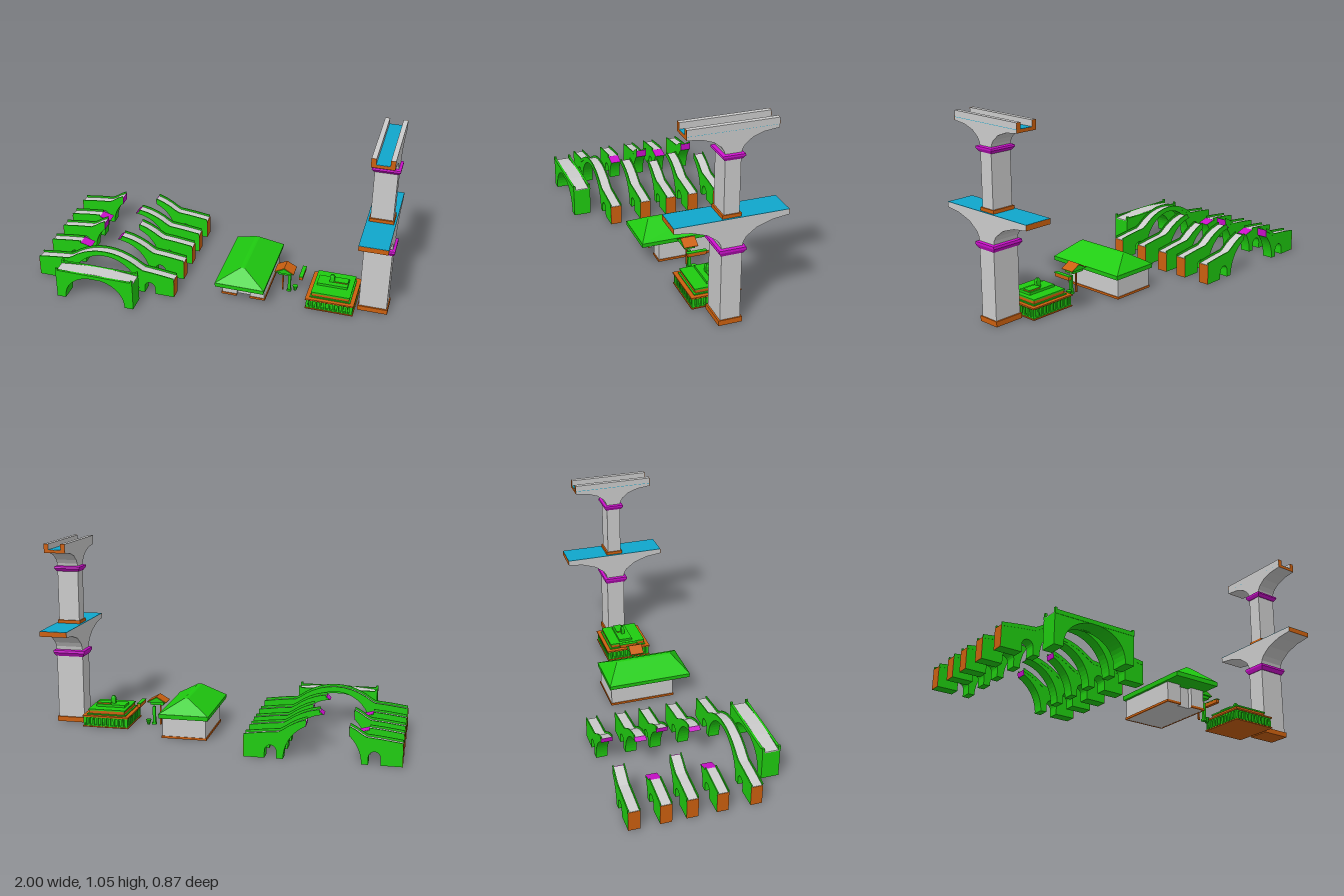
import * as THREE from 'three';

const GREEN = 0x1fcc10, ORANGE = 0xcc600f, MAGENTA = 0xcc10cc, BLUE = 0x10a6cc, GREY = 0xcccccc;
const mats = {};
const mat = (color) => (mats[color] ??= new THREE.MeshStandardMaterial({ color, flatShading: true }));

function add(parent, name, geo, color) {
  const m = new THREE.Mesh(geo, mat(color));
  m.name = name;
  parent.add(m);
  return m;
}

function box(parent, name, color, x0, x1, y0, y1, z0, z1) {
  const m = add(parent, name, new THREE.BoxGeometry(x1 - x0, y1 - y0, z1 - z0), color);
  m.position.set((x0 + x1) / 2, (y0 + y1) / 2, (z0 + z1) / 2);
  return m;
}

// Outline in x/y, extruded from z0 to z1
function slab(parent, name, color, pts, z0, z1) {
  const shape = new THREE.Shape(pts.map(([x, y]) => new THREE.Vector2(x, y)));
  const geo = new THREE.ExtrudeGeometry(shape, { depth: z1 - z0, bevelEnabled: false });
  geo.translate(0, 0, z0);
  return add(parent, name, geo, color);
}

// Stack of rectangular rings [y, halfX, halfZ] around (cx, cz), closed at both ends
function loft(parent, name, color, cx, cz, rings) {
  const pos = [], corner = [[-1, 1], [1, 1], [1, -1], [-1, -1]];
  const p = (i, j) => [cx + corner[j % 4][0] * rings[i][1], rings[i][0], cz + corner[j % 4][1] * rings[i][2]];
  const quad = (a, b, c, d) => pos.push(...a, ...b, ...c, ...a, ...c, ...d);
  const n = rings.length - 1;
  for (let i = 0; i < n; i++)
    for (let j = 0; j < 4; j++) quad(p(i, j), p(i, j + 1), p(i + 1, j + 1), p(i + 1, j));
  quad(p(0, 3), p(0, 2), p(0, 1), p(0, 0));
  quad(p(n, 0), p(n, 1), p(n, 2), p(n, 3));
  const geo = new THREE.BufferGeometry();
  geo.setAttribute('position', new THREE.Float32BufferAttribute(pos, 3));
  geo.computeVertexNormals();
  return add(parent, name, geo, color);
}

// Bridge profile measured by distance d from mid span
const MID = -0.593, HALF = 0.407;
const RISE = [[0, 0.215], [0.045, 0.212], [0.09, 0.202], [0.13, 0.187], [0.17, 0.166], [0.2, 0.145], [0.225, 0.131], [0.3, 0.124], [HALF, 0.11]];
function deckY(d) {
  const i = Math.max(1, RISE.findIndex((r) => r[0] >= d - 1e-6));
  const [a, b] = [RISE[i - 1], RISE[i]];
  return a[1] + ((b[1] - a[1]) * (d - a[0])) / (b[0] - a[0]);
}
const archY = (d) => 0.2 * Math.sqrt(Math.max(0, 1 - (d / 0.2) ** 2));

// One half of a bridge; deck stops at dTop and the arch underside at dTip
function halfBridge(parent, side, cz, dTop, dTip) {
  const g = new THREE.Group();
  g.name = side < 0 ? 'bridgeRightHalf' : 'bridgeLeftHalf';
  parent.add(g);
  const flip = (pts) => pts.map(([d, y]) => [MID + side * d, y]);
  const z0 = cz - 0.031, z1 = cz + 0.031;
  const top = [[dTop, deckY(dTop)], ...RISE.filter((r) => r[0] > dTop + 1e-3)];
  const body = [[HALF, 0]];
  for (let i = 0; i <= 10; i++) { // small side arch
    const a = (i / 10) * Math.PI;
    body.push([0.266 + 0.031 * Math.cos(a), i % 10 ? 0.038 + 0.033 * Math.sin(a) : 0.038]);
  }
  body.splice(1, 0, [0.297, 0]);
  body.push([0.235, 0]);
  for (let i = 0; i <= 14; i++) { // main arch underside
    const d = dTip + (0.2 - dTip) * Math.cos((i / 14) * Math.PI / 2);
    body.push([d, archY(d)]);
  }
  // order the underside from the springing to the tip
  const under = body.splice(body.length - 15).sort((a, b) => b[0] - a[0]);
  slab(g, 'archBody', GREEN, flip([...body, ...under, ...top]), z0, z1);
  const band = (lo, hi) => flip([...top.map(([d, y]) => [d, y + lo]), ...top.map(([d, y]) => [d, y + hi]).reverse()]);
  slab(g, 'deck', GREY, band(-0.003, 0.002), z0 + 0.001, z1 - 0.001);
  for (const z of [z0 - 0.001, z1 - 0.005]) slab(g, 'parapet', GREEN, band(-0.006, 0.014), z, z + 0.006);
  slab(g, 'endFace', ORANGE, flip([[HALF, 0], [HALF + 0.002, 0], [HALF + 0.002, 0.11], [HALF, 0.11]]), z0, z1);
  if (dTip > 0) {
    const [ty, by] = [deckY(dTop) + 0.002, archY(dTip)];
    slab(g, 'brokenFace', MAGENTA, flip([[dTop, ty], [dTip, by], [dTip - 0.003, by], [dTop - 0.003, ty + 0.001]]), z0, z1);
  }
}

// Separate centre span with straight parapets and a cambered deck
function centreSpan(parent) {
  const g = new THREE.Group();
  g.name = 'centreSpan';
  parent.add(g);
  const out = 0.227, pts = [[MID - out, 0], [MID - out, 0.16], [MID + out, 0.16], [MID + out, 0]];
  const arch = [];
  for (let i = 0; i <= 24; i++) {
    const a = (i / 24) * Math.PI;
    arch.push([MID + 0.176 * Math.cos(a), 0.157 * Math.sin(a) ** 0.9]);
  }
  slab(g, 'spanBody', GREEN, [...pts, ...arch], 0.334, 0.432);
  for (const z of [0.332, 0.421]) box(g, 'parapet', GREEN, MID - out, MID + out, 0.155, 0.177, z, z + 0.013);
  for (const z of [0.332, 0.421]) for (const s of [-1, 1])
    box(g, 'parapetPost', GREEN, MID + s * 0.221 - 0.006, MID + s * 0.221 + 0.006, 0.155, 0.187, z, z + 0.013);
  const camber = [-1, -0.75, -0.4, 0, 0.4, 0.75, 1].map((t) => [MID + t * out, 0.179 - 0.015 * t * t]);
  slab(g, 'deck', GREY, [...camber, ...camber.map(([x, y]) => [x, y - 0.006]).reverse()], 0.345, 0.421);
}

// House with hipped roof
function house(parent) {
  const g = new THREE.Group();
  g.name = 'house';
  parent.add(g);
  const plan = [[0.065, 0.225], [0.308, 0.225], [0.308, -0.145], [0.225, -0.145], [0.225, -0.12], [0.15, -0.12], [0.15, -0.145], [0.065, -0.145]];
  slab(g, 'walls', GREY, plan, 0.001, 0.116).rotation.x = -Math.PI / 2;
  const rim = (x0, x1, z0, z1) => box(g, 'plinth', ORANGE, x0, x1, 0, 0.012, z0, z1);
  rim(0.06, 0.068, -0.229, 0.149);
  rim(0.305, 0.313, -0.229, 0.149);
  rim(0.06, 0.313, -0.229, -0.221);
  rim(0.06, 0.15, 0.141, 0.149);
  rim(0.225, 0.313, 0.141, 0.149);
  loft(g, 'eaves', GREEN, 0.188, 0.004, [[0.112, 0.137, 0.24], [0.136, 0.14, 0.241]]);
  loft(g, 'hipRoof', GREEN, 0.188, 0.004, [[0.136, 0.138, 0.24], [0.212, 0.012, 0.165], [0.214, 0.004, 0.16]]);
}

// Gabled canopy, posts and hanging board
function yard(parent) {
  const g = new THREE.Group();
  g.name = 'canopy';
  parent.add(g);
  box(g, 'canopySlab', GREEN, 0.36, 0.435, 0.122, 0.14, -0.015, 0.045);
  slab(g, 'canopyGable', GREEN, [[0.345, 0.138], [0.45, 0.138], [0.397, 0.168]], -0.025, 0.055);
  slab(g, 'canopyRoof', ORANGE, [[0.342, 0.139], [0.397, 0.17], [0.452, 0.139], [0.452, 0.142], [0.397, 0.173], [0.342, 0.142]], -0.026, 0.054);
  box(g, 'canopyPost', ORANGE, 0.38, 0.388, 0, 0.125, 0.01, 0.018);
  box(g, 'greenPost', GREEN, 0.414, 0.43, 0.012, 0.106, 0.006, 0.022);
  box(g, 'postFoot', GREEN, 0.41, 0.434, 0, 0.012, 0.002, 0.026);
  const stool = new THREE.CylinderGeometry(0.016, 0.008, 0.03, 8);
  add(g, 'planter', stool, GREEN).position.set(0.453, 0.015, 0.0);
  box(g, 'hangingBoard', ORANGE, 0.483, 0.503, 0.113, 0.132, -0.053, 0.053);
  box(g, 'boardTop', GREEN, 0.482, 0.504, 0.132, 0.136, -0.056, 0.056);
}

// Stepped podium with finned sides
function podium(parent) {
  const g = new THREE.Group();
  g.name = 'podium';
  parent.add(g);
  const cx = 0.675, cz = 0.017;
  const tier = (name, color, h, y0, y1) => box(g, name, color, cx - h, cx + h, y0, y1, cz - h, cz + h);
  tier('footing', ORANGE, 0.134, 0, 0.006);
  tier('core', GREEN, 0.118, 0.006, 0.058);
  for (const y of [0.006, 0.052]) tier('band', GREEN, 0.128, y, y + 0.006);
  for (let i = 0; i <= 10; i++) for (const s of [-1, 1]) {
    const t = -0.123 + i * 0.0246;
    box(g, 'fin', GREEN, cx + t - 0.005, cx + t + 0.005, 0.006, 0.058, cz + s * 0.122 - 0.008, cz + s * 0.122 + 0.008);
    box(g, 'fin', GREEN, cx + s * 0.122 - 0.008, cx + s * 0.122 + 0.008, 0.006, 0.058, cz + t - 0.005, cz + t + 0.005);
  }
  tier('cornice', ORANGE, 0.135, 0.058, 0.066);
  tier('upperStep', GREEN, 0.113, 0.066, 0.072);
  tier('upperTier', ORANGE, 0.104, 0.072, 0.09);
  tier('upperSlab', GREEN, 0.108, 0.09, 0.098);
  box(g, 'terrace', GREEN, 0.585, 0.755, 0.098, 0.112, -0.03, 0.05);
  box(g, 'bench', ORANGE, 0.675, 0.75, 0.112, 0.118, -0.02, 0.02);
  box(g, 'benchTop', GREEN, 0.672, 0.753, 0.118, 0.121, -0.023, 0.023);
  loft(g, 'monument', GREEN, 0.664, 0.012, [[0.11, 0.014, 0.01], [0.145, 0.013, 0.009], [0.158, 0.006, 0.005]]);
}

// Tower level: column, collar and flared capital, with blue deck and orange ends
function level(parent, name, cx, cz, o) {
  const g = new THREE.Group();
  g.name = name;
  parent.add(g);
  const [w, d] = o.column;
  loft(g, 'footing', ORANGE, cx, cz, [[o.y, w + 0.006, d + 0.009], [o.y + o.foot, w + 0.006, d + 0.009]]);
  loft(g, 'column', GREY, cx, cz, [[o.y + o.foot, w, d], [o.collar[1], w, d]]);
  const [c0, c1] = o.collar, cm = c0 + (c1 - c0) * 0.55;
  loft(g, 'collar', MAGENTA, cx, cz, [[c0, w + 0.004, d + 0.004], [cm, w + 0.014, d + 0.018], [c1 - 0.004, w + 0.014, d + 0.016], [c1, w + 0.004, d + 0.004]]);
  const side = [...o.flare, [o.flare.at(-1)[0], o.top]];
  const cap = [...side.map(([z, y]) => [z, y]), ...side.map(([z, y]) => [-z, y]).reverse()];
  const m = slab(g, 'capital', GREY, cap, -w, w);
  m.rotation.y = Math.PI / 2;
  m.position.set(cx, 0, cz);
  const [len, low] = o.flare.at(-1);
  for (const s of [-1, 1])
    box(g, 'deckEnd', ORANGE, cx - w, cx + w, low, o.top, cz + s * len - 0.001, cz + s * len + 0.001);
  box(g, 'deckSurface', BLUE, cx - w, cx + w, o.top, o.top + 0.002, cz - len, cz + len);
  if (o.wall) for (const s of [-1, 1]) {
    const x = cx + s * (w - 0.0125);
    box(g, 'channelWall', GREY, x - 0.0125, x + 0.0125, o.top, o.wall, cz - len, cz + len);
    for (const e of [-1, 1])
      box(g, 'wallEnd', ORANGE, x - 0.0125, x + 0.0125, o.top, o.wall, cz + e * len - 0.001, cz + e * len + 0.001);
  }
}

export function createModel() {
  const root = new THREE.Group();
  root.name = 'bridgesAndTower';

  // Row of arch bridges: one whole, four broken at mid span
  const rows = [
    [0.231, [0, 0], [0, 0]],
    [0.051, [0.227, 0.163], [0.033, 0.013]],
    [-0.108, [0.137, 0.14], [0.083, 0.088]],
    [-0.245, [0.227, 0.163], [0.033, 0.013]],
    [-0.408, [0.137, 0.14], [0.083, 0.088]],
  ];
  for (const [z, right, left] of rows) {
    halfBridge(root, -1, z, ...right);
    halfBridge(root, 1, z, ...left);
  }
  centreSpan(root);
  house(root);
  yard(root);
  podium(root);

  // Two stacked tower levels
  level(root, 'lowerTower', 0.905, 0.019, {
    y: 0, foot: 0.028, column: [0.077, 0.053], collar: [0.387, 0.425], top: 0.575,
    flare: [[0.053, 0.42], [0.058, 0.445], [0.073, 0.47], [0.126, 0.51], [0.206, 0.537], [0.294, 0.548]],
  });
  level(root, 'upperTower', 0.906, 0.019, {
    y: 0.575, foot: 0.02, column: [0.06, 0.04], collar: [0.874, 0.905], top: 1.016, wall: 1.05,
    flare: [[0.04, 0.9], [0.045, 0.92], [0.059, 0.942], [0.095, 0.971], [0.152, 0.991], [0.228, 1.0]],
  });
  return root;
}
